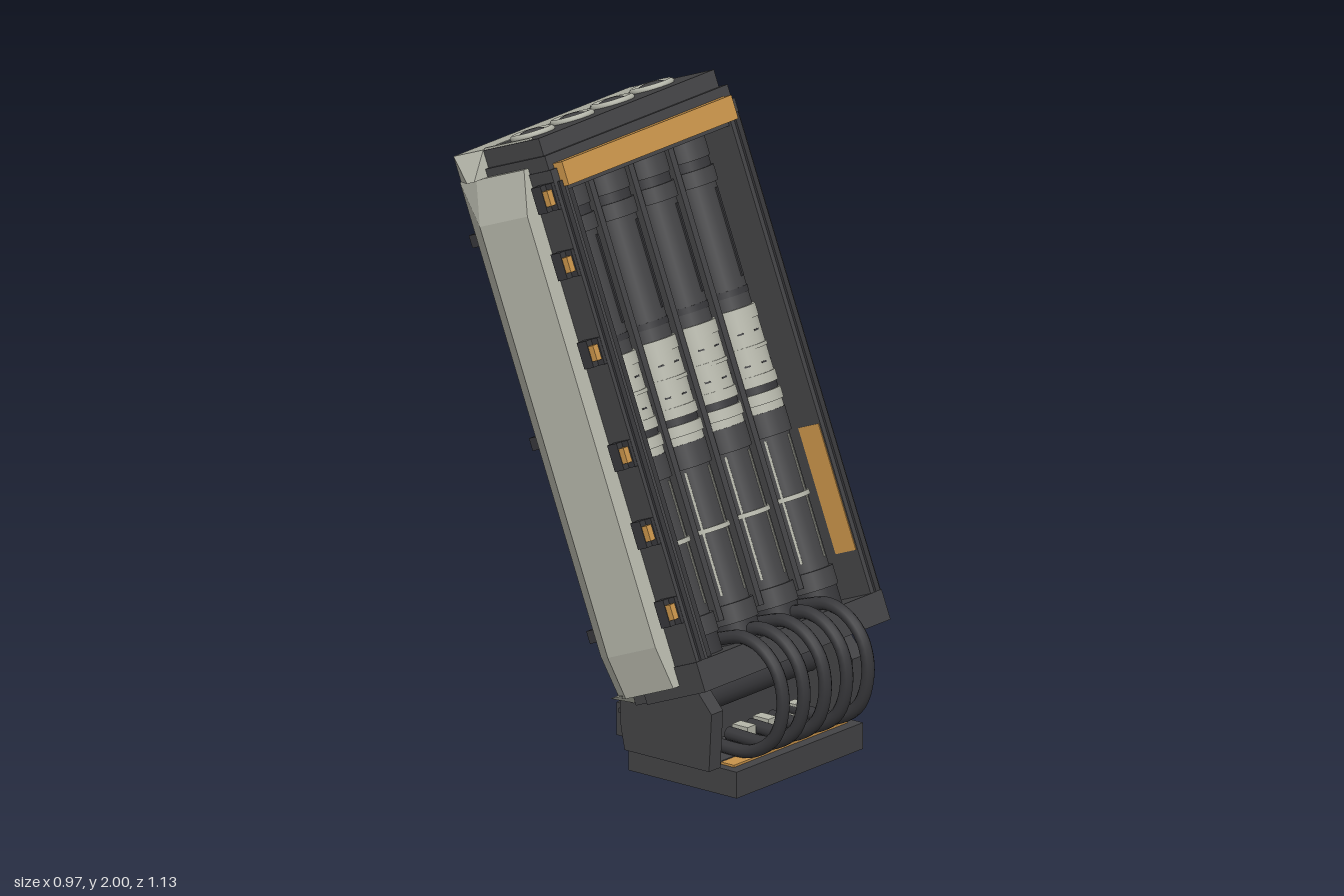
import * as THREE from 'three';

const mat = (name, color) => Object.assign(new THREE.MeshStandardMaterial({ color }), { name });

export function createModel() {
  const dark = mat('dark grey metal', 0x434345);
  const black = mat('black rubber', 0x37373a);
  const light = mat('pale grey paint', 0xb4b5a9);
  const orange = mat('orange paint', 0xc8934a);

  const root = new THREE.Group();
  root.name = 'tiltedTubeLauncher';
  const pod = new THREE.Group(); // leaning housing
  pod.name = 'pod';
  pod.position.set(0, 0.3, 0.15);
  pod.rotation.x = -0.375;
  const mount = new THREE.Group();
  mount.name = 'mount';
  root.add(pod, mount);

  const add = (parent, name, geo, m) => {
    const mesh = new THREE.Mesh(geo, m);
    mesh.name = name;
    parent.add(mesh);
    return mesh;
  };
  // box given by its min and max on each axis
  const box = (parent, name, m, x0, x1, y0, y1, z0, z1) => {
    const b = add(parent, name, new THREE.BoxGeometry(x1 - x0, y1 - y0, z1 - z0), m);
    b.position.set((x0 + x1) / 2, (y0 + y1) / 2, (z0 + z1) / 2);
    return b;
  };
  const shapeOf = pts => new THREE.Shape(pts.map(p => new THREE.Vector2(...p)));
  // (x, z) section raised along y, with a rule to move the vertices
  const raise = (pts, y0, y1, steps, rule) => {
    const g = new THREE.ExtrudeGeometry(shapeOf(pts.map(([x, z]) => [x, -z])), { depth: y1 - y0, steps, bevelEnabled: false });
    g.rotateX(-Math.PI / 2).translate(0, y0, 0);
    const p = g.attributes.position, v = new THREE.Vector3();
    for (let i = 0; i < p.count; i++) {
      v.fromBufferAttribute(p, i);
      rule(v);
      p.setXYZ(i, v.x, v.y, v.z);
    }
    g.computeVertexNormals();
    return g;
  };

  // pale outer shell, open to the front, with cut corners
  add(pod, 'shell', raise([
    [-0.485, 0.2], [-0.485, 0], [-0.405, -0.1], [0.43, -0.1], [0.468, -0.06], [0.468, -0.03],
    [0.485, -0.02], [0.485, 0.16], [0.45, 0.16], [0.45, -0.02], [-0.418, -0.02], [-0.418, 0.2],
  ], 0.0, 1.64, 12, v => {
    if (v.y > 1.6) v.x = Math.max(v.x, -0.44);
    if (v.y < 0.05) { v.x = Math.max(-0.46, Math.min(0.475, v.x)); v.z = Math.max(v.z, -0.075); }
  }), light);
  add(pod, 'backCap', raise([
    [-0.485, 0.03], [-0.485, 0], [-0.405, -0.095], [0.435, -0.095], [0.475, -0.06], [0.475, 0.03],
  ], 1.64, 1.722, 1, v => {
    if (v.y > 1.7) v.x = Math.max(-0.405, Math.min(0.435, v.x));
  }), light);
  // tapered lower lip of the shell
  const lip = new THREE.ExtrudeGeometry(shapeOf([[-0.45, 0.01], [-0.3, -0.05], [0.3, -0.05], [0.468, 0.01]]), { depth: 0.06, bevelEnabled: false });
  add(pod, 'shellLip', lip, light).position.z = -0.07;

  // dark front frame around the tube bay
  box(pod, 'bayBack', dark, -0.4, 0.44, 0, 1.64, -0.015, 0.06);
  box(pod, 'frameSide', dark, -0.425, -0.37, -0.03, 1.62, 0, 0.29);
  box(pod, 'frameSide', dark, 0.41, 0.458, -0.03, 1.62, 0, 0.29);
  for (const x of [-0.41, 0.427]) box(pod, 'frameRidge', black, x, x + 0.02, 0.06, 1.58, 0.28, 0.298);
  box(pod, 'sill', dark, -0.43, 0.458, -0.035, 0.06, 0.05, 0.294);
  box(pod, 'header', dark, -0.42, 0.455, 1.545, 1.665, 0, 0.28);
  box(pod, 'topBlock', dark, -0.405, 0.435, 1.64, 1.72, 0.02, 0.262);
  box(pod, 'topTrim', light, -0.4, -0.385, 1.715, 1.726, 0.03, 0.22);
  box(pod, 'headerStripe', orange, -0.395, 0.417, 1.56, 1.635, 0.28, 0.318);
  box(pod, 'bayPost', black, -0.365, -0.33, 0.06, 1.545, 0.18, 0.27);
  for (const x of [-0.371, 0.407]) box(pod, 'bayMarker', orange, x, x + 0.004, 0.2, 0.6, 0.2, 0.285);
  for (const v of [0.228, 0.478, 0.725, 1.05, 1.33, 1.54]) {
    box(pod, 'latch', orange, -0.46, -0.436, v - 0.024, v + 0.024, 0.262, 0.284);
    box(pod, 'latchSeat', black, -0.462, -0.42, v - 0.042, v + 0.042, 0.225, 0.264);
    box(pod, 'latchHinge', black, -0.438, -0.42, v - 0.042, v + 0.042, 0.26, 0.289);
  }

  // four tubes built from stacked sections: bottom, top, radius, colour
  const sections = [
    [0.06, 0.12, 0.076, black], [0.12, 0.18, 0.082, dark], [0.18, 0.62, 0.071, dark],
    [0.405, 0.42, 0.078, light], [0.61, 0.685, 0.08, dark], [0.685, 0.71, 0.078, light],
    [0.71, 0.745, 0.084, light], [0.745, 0.767, 0.077, black], [0.767, 0.8, 0.083, light],
    [0.8, 0.97, 0.079, light], [0.97, 1.01, 0.082, light], [0.878, 0.89, 0.083, light], [1.01, 1.4, 0.073, dark],
    [1.05, 1.07, 0.075, black], [1.4, 1.45, 0.081, dark], [1.45, 1.48, 0.074, black], [1.48, 1.55, 0.079, dark],
  ];
  const tubeX = [-0.272, -0.082, 0.11, 0.3];
  for (const x of tubeX) {
    const tube = new THREE.Group();
    tube.name = 'launchTube';
    tube.position.set(x, 0, 0.165);
    pod.add(tube);
    for (const [a, b, r, m] of sections) {
      add(tube, 'tubeSection', new THREE.CylinderGeometry(r, r, b - a, 28), m).position.y = (a + b) / 2;
    }
    // strips and slots laid around the tube
    const strip = (name, m, ang, r, v0, v1, w) => {
      const s = add(tube, name, new THREE.BoxGeometry(w, v1 - v0, 0.008), m);
      s.position.set(Math.sin(ang) * r, (v0 + v1) / 2, Math.cos(ang) * r);
      s.rotation.y = ang;
    };
    for (const a of [-0.95, 0.3, 1.1]) strip('tubeLine', light, a, 0.07, 0.21, 0.6, 0.007);
    strip('tubeRail', black, 0.35, 0.073, 1.1, 1.38, 0.014);
    for (let i = 0; i < 3; i++) {
      for (const v of [0.83, 0.93]) strip('sleeveSlot', black, -1.6 + i * 0.75 + v, 0.0762, v, v + 0.005, 0.02);
    }
    // round vent on the top block
    const ring = add(pod, 'ventRing', new THREE.TorusGeometry(0.061, 0.01, 8, 32), light);
    ring.rotation.x = Math.PI / 2;
    ring.position.set(x, 1.725, 0.122);
    const dome = add(pod, 'ventDome', new THREE.SphereGeometry(0.053, 24, 8, 0, Math.PI * 2, 0, Math.PI / 2), dark);
    dome.scale.y = 0.4;
    dome.position.set(x, 1.718, 0.122);
  }
  for (const x of [-0.177, 0.014, 0.205]) box(pod, 'tubeDivider', dark, x - 0.012, x + 0.012, 0.14, 1.55, 0.05, 0.21);

  // ribbed back with a carrying rack
  for (let i = 0; i < 8; i++) {
    const x = -0.34 + i * 0.1;
    box(pod, 'backRib', light, x - 0.027, x + 0.027, 0.08, 1.585, -0.122, -0.095);
  }
  for (const v of [0.198, 0.81, 1.453]) box(pod, 'rackBar', black, -0.375, 0.405, v - 0.02, v + 0.02, -0.155, -0.11);
  for (const x of [-0.19, 0.23]) box(pod, 'rackRail', black, x - 0.028, x + 0.028, 0.12, 1.364, -0.18, -0.148);
  for (let i = 0; i < 4; i++) box(pod, 'rackProng', black, -0.12 + i * 0.09, -0.1 + i * 0.09, 0.12, 0.25, -0.165, -0.11);

  // base, pivot cheeks and rear housing
  box(mount, 'base', dark, -0.29, 0.315, 0, 0.084, 0.022, 0.445);
  box(mount, 'baseStripe', orange, -0.26, 0.285, 0.084, 0.091, 0.36, 0.41);
  box(mount, 'baseDeck', dark, -0.28, 0.305, 0.084, 0.094, 0.04, 0.36);
  const cheek = [[0.39, 0.09], [0.4, 0.275], [0.325, 0.36], [0.08, 0.34], [0.04, 0.27], [0.045, 0.16], [0.06, 0.09]];
  const cheekGeo = new THREE.ExtrudeGeometry(shapeOf(cheek.map(([z, y]) => [-z, y])), { depth: 0.055, bevelEnabled: false });
  cheekGeo.rotateY(Math.PI / 2);
  for (const x of [-0.355, 0.32]) add(mount, 'pivotCheek', cheekGeo, dark).position.x = x;
  box(mount, 'mountBlock', dark, -0.26, 0.285, 0.09, 0.195, -0.05, 0.22);
  box(mount, 'mountStripe', orange, -0.23, 0.255, 0.195, 0.203, -0.04, 0.02);
  box(mount, 'mountCore', light, -0.3, 0.32, 0.22, 0.31, 0.08, 0.2);
  for (const x of [-0.2, -0.04, 0.06, 0.22]) box(mount, 'hoseSocket', light, x - 0.02, x + 0.02, 0.094, 0.135, 0.24, 0.3);
  const axle = add(mount, 'pivotAxle', new THREE.CylinderGeometry(0.05, 0.05, 0.68, 20), black);
  axle.rotation.z = Math.PI / 2;
  axle.position.set(0.01, 0.25, 0.22);
  const housing = add(mount, 'rearHousing', new THREE.BoxGeometry(0.5, 0.21, 0.07), dark);
  housing.position.set(0.01, 0.3, -0.06);
  housing.rotation.x = -0.375;
  for (const x of [-0.28, 0.3]) {
    const piston = add(mount, 'piston', new THREE.CylinderGeometry(0.024, 0.024, 0.15, 16), light);
    piston.position.set(x, 0.27, 0.025);
    piston.rotation.x = -0.375;
    box(mount, 'pistonFoot', dark, x - 0.03, x + 0.03, 0.185, 0.2, 0, 0.06);
  }

  // five looped hoses
  for (const x of [-0.19, -0.09, 0.012, 0.115, 0.217]) {
    const path = new THREE.CatmullRomCurve3([
      [0.42, 0.21], [0.455, 0.3], [0.478, 0.39], [0.455, 0.465], [0.39, 0.525], [0.29, 0.545], [0.18, 0.51], [0.12, 0.42], [0.115, 0.25],
    ].map(([y, z]) => new THREE.Vector3(x, y, z)));
    add(mount, 'hose', new THREE.TubeGeometry(path, 36, 0.021, 10), black);
    box(pod, 'hoseCollar', dark, x - 0.026, x + 0.026, 0.06, 0.125, 0.07, 0.125);
  }
  return root;
}
